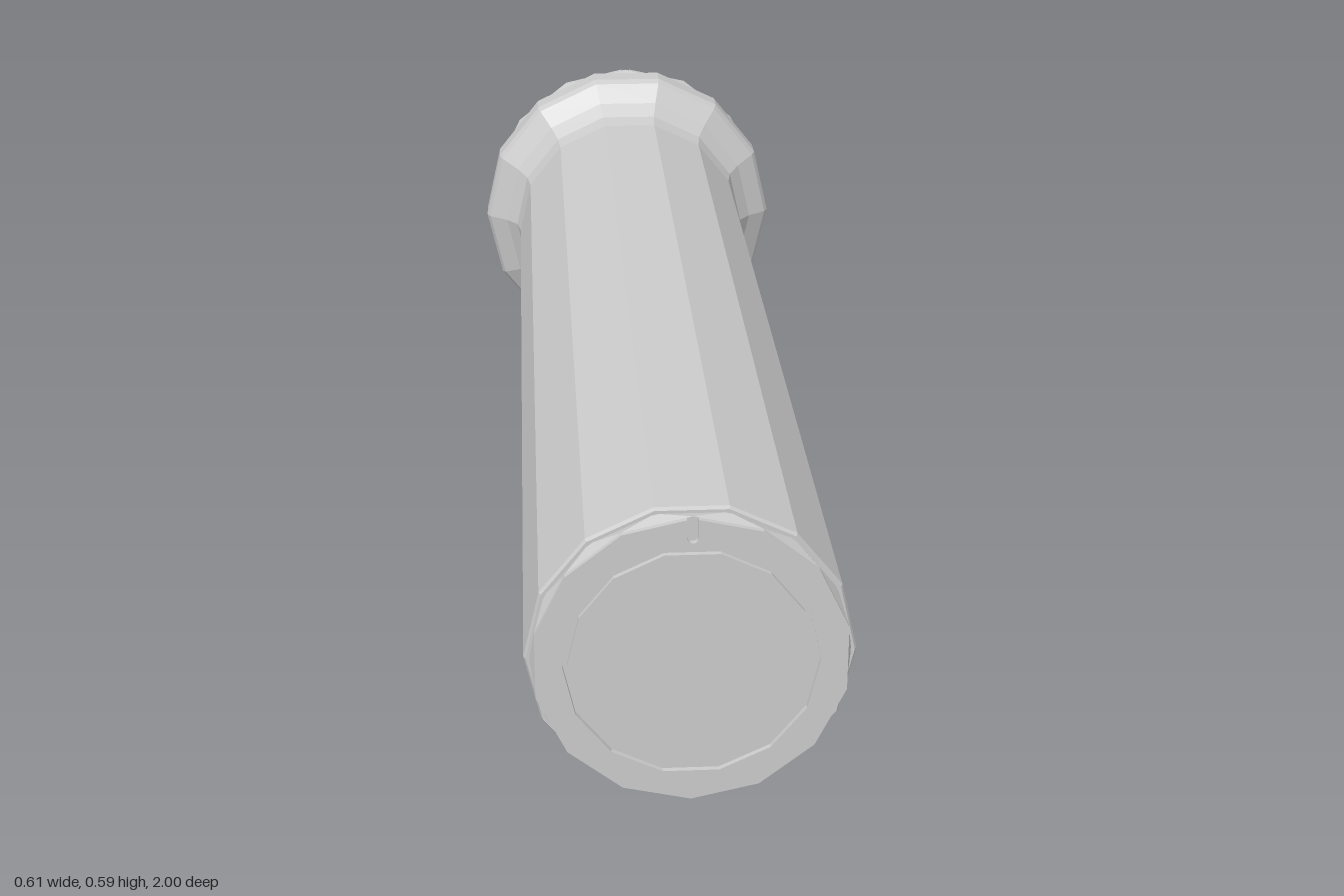
import * as THREE from 'three';

const SIDES = 14;
const STEP = (Math.PI * 2) / SIDES;
const AXIS_Y = 0.299;
const material = new THREE.MeshStandardMaterial({ color: 0xcccccc, flatShading: true });

function mesh(name, geometry) {
  const m = new THREE.Mesh(geometry, material);
  m.name = name;
  return m;
}

// Regular polygon corners, the first one at the given angle
function polygon(radius, start) {
  return Array.from({ length: SIDES }, (_, i) => new THREE.Vector2(
    radius * Math.cos(start + i * STEP), radius * Math.sin(start + i * STEP)));
}

// Polygonal disc with a corner on top, cut there by a round-ended slot
function notchedDisc(radius, slotLength, slotHalf) {
  const s = new THREE.Shape();
  const corners = polygon(radius, Math.PI / 2);
  const rim = radius - slotHalf * Math.tan(STEP / 2);
  const slotEnd = radius - slotLength + slotHalf;
  s.moveTo(-slotHalf, rim);
  corners.slice(1).forEach((p) => s.lineTo(p.x, p.y));
  s.lineTo(slotHalf, rim);
  s.lineTo(slotHalf, slotEnd);
  s.absarc(0, slotEnd, slotHalf, 0, -Math.PI, true);
  s.closePath();
  return s;
}

// End cap facing +z: a skirt twisted half a step, with a notched plate on it
function endCap(name, baseZ, baseRadius, faceRadius, grooveRadius) {
  const cap = new THREE.Group();
  cap.name = name;
  const plate = 0.008;
  const height = 1 - plate - baseZ;

  const skirt = new THREE.CylinderGeometry(faceRadius, baseRadius, height, SIDES, 1, false, Math.PI / 2);
  const pos = skirt.attributes.position;
  const v = new THREE.Vector3();
  const up = new THREE.Vector3(0, 1, 0);
  for (let i = 0; i < pos.count; i++) {
    v.fromBufferAttribute(pos, i);
    if (v.y > 0) v.applyAxisAngle(up, -STEP / 2);
    pos.setXYZ(i, v.x, v.y, v.z);
  }
  skirt.rotateX(Math.PI / 2).translate(0, 0, baseZ + height / 2);
  cap.add(mesh('capSkirt', skirt));

  const extrude = { depth: plate, bevelEnabled: false, curveSegments: 6 };
  const face = notchedDisc(faceRadius, 0.037, 0.008);
  if (grooveRadius) {
    // Thin groove around a central disc
    face.holes.push(new THREE.Path(polygon(grooveRadius, 0).reverse()));
    const disc = new THREE.ExtrudeGeometry(new THREE.Shape(polygon(grooveRadius - 0.007, 0)), extrude);
    cap.add(mesh('centreDisc', disc.translate(0, 0, 1 - plate)));
  }
  cap.add(mesh('capFace', new THREE.ExtrudeGeometry(face, extrude).translate(0, 0, 1 - plate)));
  return cap;
}

export function createModel() {
  const model = new THREE.Group();
  model.name = 'flangedCylinder';

  // Long barrel with a flared rim at the back: radius, z
  const profile = [
    [0, -0.963], [0.3, -0.963], [0.3047, -0.957], [0.3047, -0.908], [0.298, -0.895],
    [0.262, -0.868], [0.24, -0.84], [0.233, -0.8], [0.233, 0.97], [0.23, 0.976], [0, 0.976],
  ].map(([r, z]) => new THREE.Vector2(r, z));
  const barrel = new THREE.LatheGeometry(profile, SIDES, Math.PI / 2).rotateX(Math.PI / 2);
  model.add(mesh('barrel', barrel));

  // Caps at both ends
  model.add(endCap('frontCap', 0.974, 0.225, 0.223, 0.18));
  const back = endCap('backCap', 0.962, 0.294, 0.295, 0);
  back.rotation.y = Math.PI;
  model.add(back);

  model.children.forEach((part) => { part.position.y = AXIS_Y; });
  return model;
}
